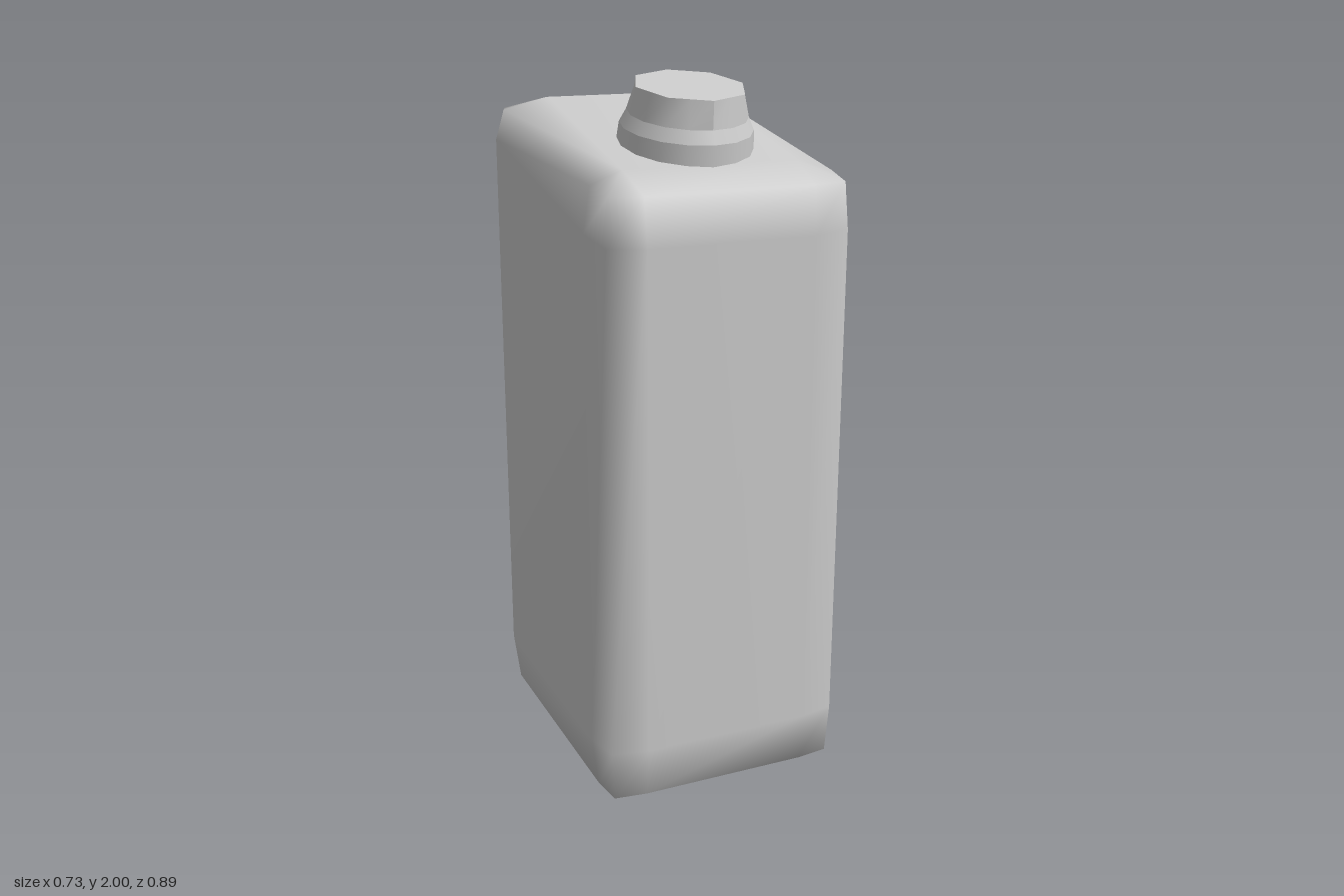
import * as THREE from 'three';
import { mergeVertices } from 'three/addons/utils/BufferGeometryUtils.js';

const material = new THREE.MeshStandardMaterial({ color: 0xcccccc });

// Cross-section with one bevelled point per corner; height runs from front (yf) to back (yb).
function ring({ hx, zf, zb, yf, yb, front = [0, 0, 0], back = [0, 0, 0] }) {
  const half = [
    [hx - back[0], zb],
    [hx - back[2], zb + back[2]],
    [hx, zb + back[1]],
    [hx, zf - front[1]],
    [hx - front[2], zf - front[2]],
    [hx - front[0], zf],
  ];
  const outline = [...half, ...half.map(([x, z]) => [-x, z]).reverse()];
  return outline.map(([x, z]) => [x, yb + (yf - yb) * (z - zb) / (zf - zb), z]);
}

// Smooth closed skin through the rings, listed from bottom to top.
function loft(rings) {
  const n = rings[0].length, positions = rings.flat(2), index = [];
  for (let r = 0; r < rings.length - 1; r++) {
    for (let i = 0; i < n; i++) {
      const a = r * n + i, b = r * n + (i + 1) % n;
      index.push(a, a + n, b, b, a + n, b + n);
    }
  }
  const top = (rings.length - 1) * n;
  // end faces as strips from the right half to the left half
  for (let i = 0; i < n / 2 - 1; i++) {
    const j = n - 1 - i;
    index.push(i, i + 1, j, i + 1, j - 1, j);
    index.push(top + i, top + j, top + i + 1, top + i + 1, top + j, top + j - 1);
  }
  const geometry = new THREE.BufferGeometry();
  geometry.setAttribute('position', new THREE.Float32BufferAttribute(positions, 3));
  geometry.setIndex(index);
  const merged = mergeVertices(geometry);
  merged.computeVertexNormals();
  return merged;
}

function createBody() {
  const front = [0.125, 0.125, 0.021], back = [0.15, 0.035, 0.015];
  const edgeFront = [0.105, 0.11, 0.012], edgeBack = [0.13, 0.03, 0.01];
  const side = { hx: 0.366, zf: 0.445, zb: -0.445, front, back };
  const edge = { hx: 0.348, zf: 0.43, front: edgeFront, back: edgeBack };
  const mesh = new THREE.Mesh(loft([
    ring({ hx: 0.24, zf: 0.31, zb: -0.405, yf: 0.005, yb: 0 }),
    ring({ ...edge, zb: -0.432, yf: 0.035, yb: 0.025 }),
    ring({ ...side, yf: 0.18, yb: 0.17 }),
    ring({ ...side, yf: 1.6, yb: 1.79 }),
    ring({ ...edge, zb: -0.415, yf: 1.73, yb: 1.875 }),
    ring({ hx: 0.25, zf: 0.3, zb: -0.28, yf: 1.78, yb: 1.912 }),
  ]), material);
  mesh.name = 'body';
  return mesh;
}

function createCap() {
  const cap = new THREE.Group();
  cap.name = 'cap';
  const add = (geometry, name) => {
    const mesh = new THREE.Mesh(geometry, material);
    mesh.name = name;
    cap.add(mesh);
  };
  const band = (r0, y0, r1, y1) =>
    new THREE.CylinderGeometry(r1, r0, y1 - y0, 16, 1, true).translate(0, (y0 + y1) / 2, 0);

  add(band(0.188, -0.02, 0.182, 0.045), 'capCollar');
  add(band(0.182, 0.045, 0.165, 0.08), 'capShoulder');

  // grip: sixteen sides below, its rim squared off to an octagon
  const grip = band(0.165, 0.08, 0.156, 0.155);
  const p = grip.attributes.position;
  for (let i = 1; i <= 16; i += 2) {
    const k = Math.cos(Math.PI / 8);
    p.setX(i, p.getX(i) * k);
    p.setZ(i, p.getZ(i) * k);
  }
  grip.computeVertexNormals();
  add(grip, 'capGrip');
  add(new THREE.CircleGeometry(0.156, 8).rotateX(-Math.PI / 2).translate(0, 0.155, 0), 'capTop');

  // tilted to follow the sloping top
  cap.position.set(0, 1.82, 0.133);
  cap.rotation.x = 0.185;
  return cap;
}

export function createModel() {
  const model = new THREE.Group();
  model.name = 'canister';
  model.add(createBody(), createCap());
  return model;
}
